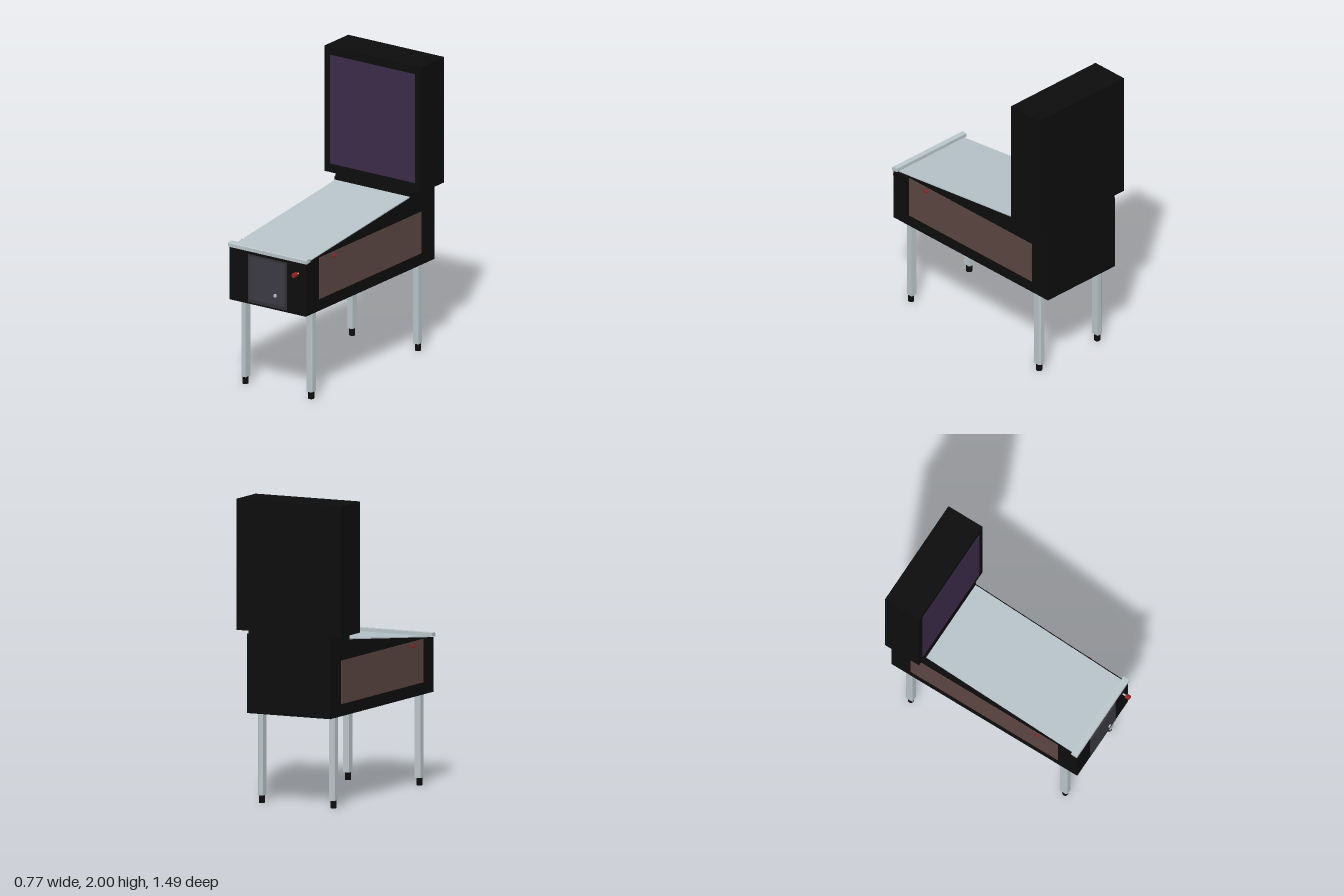
import * as THREE from 'three';

const mat = (name, color) => {
  const m = new THREE.MeshStandardMaterial({ color });
  m.name = name;
  return m;
};

export function createModel() {
  const root = new THREE.Group();
  root.name = 'pinballTable';

  const black = mat('black body', 0x0d0d0d);
  const steel = mat('steel', 0xbac6ca);
  const glass = mat('pale glass', 0xb7c3c9);
  const purple = mat('purple back glass', 0x3d2c4a);
  const brown = mat('brown side art', 0x5d4743);
  const frameGrey = mat('door frame grey', 0x333238);
  const doorGrey = mat('door grey', 0x3c3b42);
  const red = mat('red buttons', 0xa01e1e);

  const add = (name, geometry, material, x = 0, y = 0, z = 0) => {
    const mesh = new THREE.Mesh(geometry, material);
    mesh.name = name;
    mesh.position.set(x, y, z);
    root.add(mesh);
    return mesh;
  };
  // Box given by its limits on each axis
  const box = (name, material, [x0, x1], [y0, y1], [z0, z1]) =>
    add(name, new THREE.BoxGeometry(x1 - x0, y1 - y0, z1 - z0), material,
      (x0 + x1) / 2, (y0 + y1) / 2, (z0 + z1) / 2);
  // Side profile (z, y) extruded across the width
  const acrossX = (points, width) => {
    const shape = new THREE.Shape(points.map(([z, y]) => new THREE.Vector2(z, y)));
    return new THREE.ExtrudeGeometry(shape, { depth: width, bevelEnabled: false })
      .translate(0, 0, -width / 2).rotateY(-Math.PI / 2);
  };

  // Cabinet with sloping top, neck and backbox
  add('cabinet', acrossX([
    [0.69, 0.6], [0.69, 0.957], [-0.48, 1.09], [-0.48, 1.12], [-0.743, 1.12], [-0.743, 0.6],
  ], 0.61), black);
  box('neck', black, [-0.297, 0.297], [1.12, 1.14], [-0.743, -0.48]);
  box('backbox', black, [-0.383, 0.383], [1.14, 2], [-0.743, -0.48]);
  box('backGlass', purple, [-0.339, 0.339], [1.2, 1.945], [-0.48, -0.477]);

  // Playfield glass and the bar that locks it
  add('playfieldGlass', acrossX([
    [0.66, 0.958], [0.66, 0.966], [-0.479, 1.097], [-0.479, 1.088],
  ], 0.594), glass);
  add('lockBar', acrossX([
    [0.694, 0.96], [0.694, 0.984], [0.688, 0.99], [0.65, 0.99], [0.65, 0.966],
  ], 0.63), steel);

  // Coin door
  box('doorFrame', frameGrey, [-0.153, 0.153], [0.612, 0.94], [0.69, 0.694]);
  box('coinDoor', doorGrey, [-0.138, 0.138], [0.638, 0.927], [0.694, 0.698]);
  add('doorLock', new THREE.CylinderGeometry(0.012, 0.012, 0.008, 16).rotateX(Math.PI / 2),
    steel, 0.068, 0.7, 0.701);

  // Ball plunger
  add('plungerRod', new THREE.CylinderGeometry(0.006, 0.006, 0.03, 12).rotateX(Math.PI / 2),
    steel, 0.244, 0.885, 0.702);
  add('plungerKnob', new THREE.CylinderGeometry(0.016, 0.016, 0.03, 16).rotateX(Math.PI / 2),
    red, 0.244, 0.885, 0.729);

  // Leg section with its outer corner cut off
  const legShape = new THREE.Shape([
    [-0.021, -0.026], [0.021, -0.026], [0.021, 0.016], [0.011, 0.026], [-0.021, 0.026],
  ].map(([x, y]) => new THREE.Vector2(x, y)));

  for (const side of [-1, 1]) {
    const label = side > 0 ? 'left' : 'right';
    box(label + 'SideArt', brown,
      side > 0 ? [0.305, 0.308] : [-0.308, -0.305], [0.68, 0.965], [-0.593, 0.543]);
    add(label + 'FlipperButton',
      new THREE.CylinderGeometry(0.012, 0.012, 0.02, 16).rotateZ(Math.PI / 2),
      red, side * 0.312, 0.937, 0.385);

    for (const [end, z, sz] of [['Front', 0.571, 1], ['Rear', -0.619, -1]]) {
      // Mirror the section so the cut corner always points outward
      const pts = legShape.getPoints().map(p => new THREE.Vector2(p.x * side, -p.y * sz));
      const leg = new THREE.ExtrudeGeometry(new THREE.Shape(pts), { depth: 0.55, bevelEnabled: false });
      add(label + end + 'Leg', leg.rotateX(-Math.PI / 2), steel, side * 0.263, 0.05, z);
      add(label + end + 'Foot', new THREE.CylinderGeometry(0.02, 0.02, 0.05, 16), black,
        side * 0.263, 0.025, z);
    }
  }
  return root;
}
